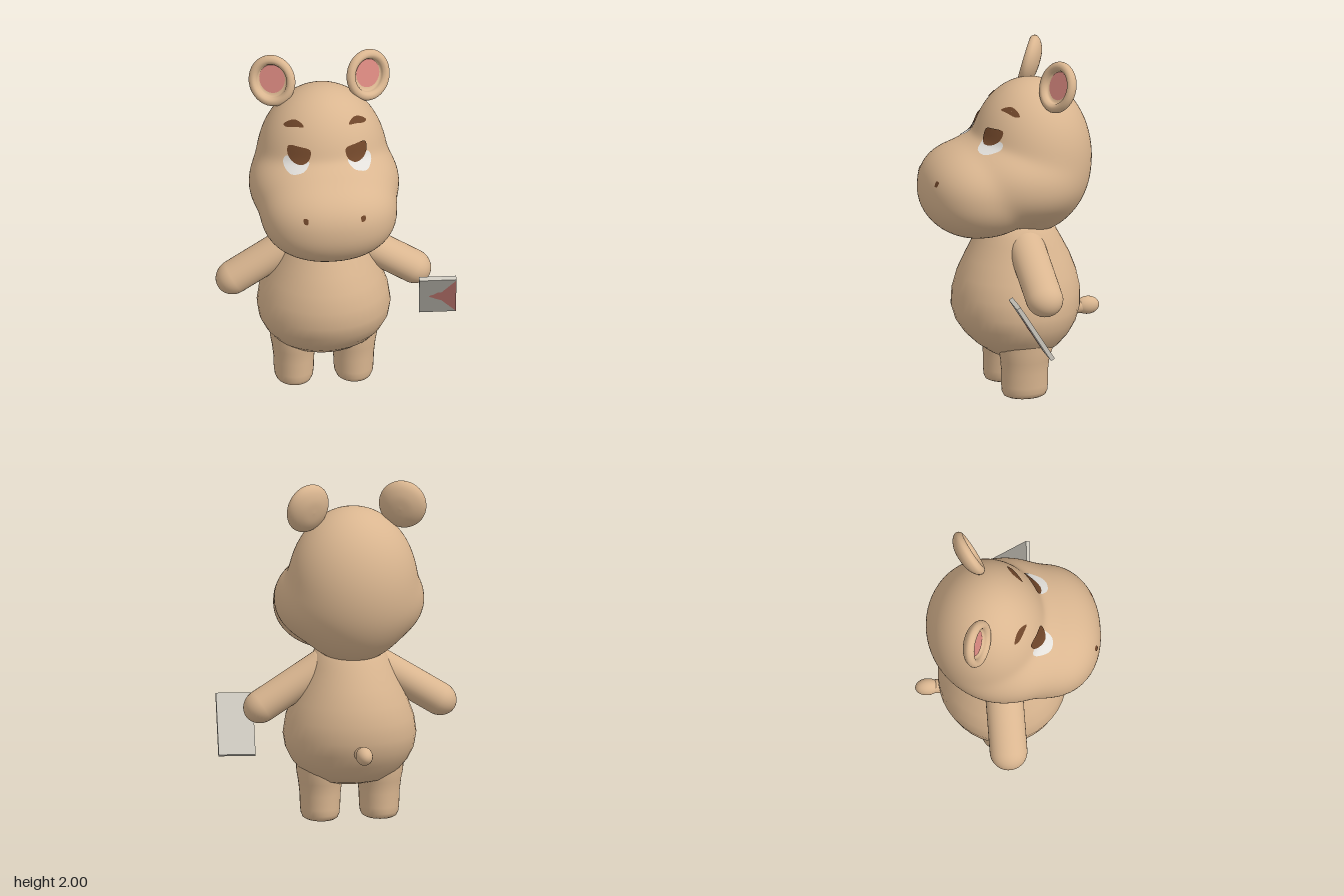
import * as THREE from 'three';
import { mergeVertices } from 'three/addons/utils/BufferGeometryUtils.js';

const mat = (name, color, side = THREE.FrontSide) => {
  const m = new THREE.MeshStandardMaterial({ color, side });
  m.name = name;
  return m;
};

// Weld seams and give smooth normals
function smooth(geo) {
  geo.deleteAttribute('uv');
  geo.deleteAttribute('normal');
  const g = mergeVertices(geo, 1e-5);
  g.computeVertexNormals();
  return g;
}

// Oval rings from top to bottom: [y, half width, front z, back z]
function loft(rows, sides = 40) {
  const geo = new THREE.CylinderGeometry(1, 1, 1, sides, rows.length - 1, true);
  const p = geo.attributes.position;
  for (let i = 0; i < p.count; i++) {
    const [y, w, f, b] = rows[Math.floor(i / (sides + 1))];
    p.setXYZ(i, p.getX(i) * w, y, (f + b) / 2 + p.getZ(i) * (f - b) / 2);
  }
  return smooth(geo);
}

// Head: soft blend of cranium, cheeks and muzzle; [cy, cz, rx, ry, rz, power]
const LOBES = [
  [1.385, -0.125, 0.374, 0.453, 0.347, 2],
  [1.28, -0.02, 0.428, 0.285, 0.4, 2.1],
  [1.213, 0.2, 0.39, 0.272, 0.328, 2.2],
];
function inHead(p) {
  let sum = 0;
  for (const [cy, cz, rx, ry, rz, e] of LOBES) {
    const q = Math.abs(p.x / rx) ** e + Math.abs((p.y - cy) / ry) ** e + Math.abs((p.z - cz) / rz) ** e;
    sum += Math.max(q, 1e-6) ** (-24 / e);
  }
  return sum > 1;
}

// Point where a line from start to end crosses the head surface (exactly one end is inside)
function cross(inside, outside) {
  const a = inside.clone(), b = outside.clone(), m = new THREE.Vector3();
  for (let i = 0; i < 28; i++) {
    m.addVectors(a, b).multiplyScalar(0.5);
    if (inHead(m)) a.copy(m); else b.copy(m);
  }
  return m;
}

function headGeometry() {
  const geo = new THREE.SphereGeometry(1, 80, 64);
  const p = geo.attributes.position, c = new THREE.Vector3(0, 1.34, 0.02), d = new THREE.Vector3();
  for (let i = 0; i < p.count; i++) {
    d.fromBufferAttribute(p, i).add(c);
    const s = cross(c, d);
    p.setXYZ(i, s.x, s.y, s.z);
  }
  return smooth(geo);
}

// Painted patch dropped onto the head along -z (face) or -y (from above)
function patch(outline, lift, fromAbove = false) {
  const pts = outline.map(([x, y]) => new THREE.Vector3(x, y, 0));
  const edge = new THREE.CatmullRomCurve3(pts, true).getPoints(32).slice(0, 32);
  const mid = edge.reduce((s, q) => s.add(q), new THREE.Vector3()).multiplyScalar(1 / 32);
  const pos = [], index = [], step = new THREE.Vector3(0, fromAbove ? -0.005 : 0, fromAbove ? 0 : -0.005);
  for (let r = 0; r <= 5; r++) {
    for (const e of edge) {
      const q = mid.clone().lerp(e, Math.max(r / 5, 0.01));
      const s = fromAbove ? new THREE.Vector3(q.x, 2, q.y) : new THREE.Vector3(q.x, q.y, 0.7);
      for (let k = 0; k < 300 && !inHead(s); k++) s.add(step);
      const hit = cross(s, s.clone().sub(step));
      const out = hit.clone().sub(new THREE.Vector3(0, 1.34, 0)).normalize();
      hit.addScaledVector(out, lift);
      pos.push(hit.x, hit.y, hit.z);
    }
  }
  for (let r = 0; r < 5; r++) {
    for (let i = 0; i < 32; i++) {
      const j = (i + 1) % 32, a = r * 32, b = a + 32;
      index.push(a + i, b + i, b + j, a + i, b + j, a + j);
    }
  }
  const geo = new THREE.BufferGeometry();
  geo.setAttribute('position', new THREE.Float32BufferAttribute(pos, 3));
  geo.setIndex(index);
  geo.computeVertexNormals();
  return geo;
}

export function createModel() {
  const skin = mat('tan skin', 0xdab690);
  const pink = mat('pink', 0xd98880, THREE.DoubleSide);
  const brown = mat('dark brown', 0x6e4529, THREE.DoubleSide);
  const white = mat('eye white', 0xe2dfda, THREE.DoubleSide);
  const card = mat('card grey', 0xcfcbc1);

  const model = new THREE.Group();
  const animal = new THREE.Group();
  animal.name = 'hippo';
  animal.position.x = -0.075;
  model.add(animal);
  const add = (name, geo, material, parent = animal) => {
    const m = new THREE.Mesh(geo, material);
    m.name = name;
    parent.add(m);
    return m;
  };

  add('head', headGeometry(), skin);

  // Pear-shaped body
  add('body', loft([
    [1.08, 0.001, -0.03, -0.032], [1.06, 0.13, 0.11, -0.17], [1.0, 0.19, 0.16, -0.235], [0.95, 0.22, 0.185, -0.265],
    [0.9, 0.242, 0.21, -0.293], [0.8, 0.285, 0.26, -0.345], [0.7, 0.33, 0.305, -0.383],
    [0.6, 0.368, 0.331, -0.404], [0.5, 0.383, 0.335, -0.402], [0.42, 0.37, 0.31, -0.378],
    [0.35, 0.335, 0.262, -0.338], [0.29, 0.285, 0.2, -0.285], [0.24, 0.22, 0.13, -0.22],
    [0.215, 0.14, 0.06, -0.14], [0.205, 0.001, -0.04, -0.042],
  ]), skin);

  // Tail
  const tail = add('tail', new THREE.SphereGeometry(1, 24, 16), skin);
  tail.scale.set(0.048, 0.052, 0.07);
  tail.position.set(0, 0.45, -0.465);
  const tailRoot = add('tailRoot', new THREE.CylinderGeometry(0.036, 0.045, 0.12, 20), skin);
  tailRoot.rotation.x = -Math.PI / 2;
  tailRoot.position.set(0, 0.447, -0.41);

  const legGeo = loft([
    [0.4, 0.14, 0.12, -0.2], [0.28, 0.136, 0.116, -0.196], [0.22, 0.125, 0.106, -0.178], [0.15, 0.117, 0.101, -0.17],
    [0.07, 0.114, 0.101, -0.17], [0.035, 0.11, 0.098, -0.167], [0.012, 0.1, 0.088, -0.157],
    [0.003, 0.085, 0.07, -0.14], [0, 0.07, 0.055, -0.125], [0, 0.001, -0.034, -0.036],
  ], 32);

  // Ear cup profile, turned to face +z
  const earGeo = new THREE.LatheGeometry(new THREE.SplineCurve([
    [0.0005, -0.05], [0.06, -0.044], [0.108, -0.02], [0.13, 0.012], [0.122, 0.038],
    [0.102, 0.045], [0.086, 0.032], [0.078, 0.01], [0.04, 0.004], [0.0005, 0.004],
  ].map(([x, y]) => new THREE.Vector2(x, y))).getPoints(36), 40);
  earGeo.rotateX(Math.PI / 2);

  for (const s of [1, -1]) {
    const side = s > 0 ? 'left' : 'right';
    const flip = (list) => list.map(([x, y]) => [x * s, y]);

    add(side + 'Leg', legGeo, skin).position.x = 0.172 * s;

    // Arm: capsule from shoulder to paw
    const a = new THREE.Vector3(0.17 * s, 0.89, -0.045), b = new THREE.Vector3(0.515 * s, 0.675, -0.045);
    const arm = add(side + 'Arm', new THREE.CapsuleGeometry(0.108, a.distanceTo(b), 12, 32), skin);
    arm.position.addVectors(a, b).multiplyScalar(0.5);
    arm.rotation.z = Math.atan2(b.y - a.y, b.x - a.x) + Math.PI / 2;
    arm.scale.x = 0.88;

    // Ear with pink lining
    const ear = new THREE.Group();
    ear.name = side + 'Ear';
    ear.position.set(0.27 * s, 1.853, -0.215);
    ear.rotation.set(-0.27, 0.42 * s, -0.2 * s, 'YXZ');
    ear.scale.set(1.06, 1.15, 1);
    animal.add(ear);
    add('earCup', earGeo, skin, ear);
    add('earLining', new THREE.CircleGeometry(0.072, 32), pink, ear).position.set(0, 0.008, 0.012);

    // Half-closed eye, brow and nostril
    add(side + 'EyeWhite', patch(flip([[0.11, 1.53], [0.17, 1.54], [0.235, 1.54], [0.25, 1.5], [0.225, 1.475], [0.17, 1.482], [0.13, 1.5]]), 0.004), white);
    add(side + 'Iris', patch(flip([[0.1, 1.59], [0.155, 1.602], [0.215, 1.598], [0.222, 1.555], [0.2, 1.522], [0.15, 1.514], [0.108, 1.54]]), 0.008), brown);
    add(side + 'Brow', patch(flip([[0.128, 0.092], [0.165, 0.045], [0.21, 0.02], [0.235, 0.015], [0.22, 0.04], [0.175, 0.07]]), 0.005, true), brown);
    add(side + 'Nostril', patch(flip([[0.152, 1.322], [0.176, 1.322], [0.174, 1.296], [0.155, 1.294]]), 0.003), brown);
  }

  // Held card with a coloured flap on its front
  const held = new THREE.Group();
  held.name = 'heldCard';
  held.position.set(0.568, 0.545, 0.072);
  held.rotation.set(0.56, -0.06, 0.06);
  model.add(held);
  add('cardBoard', new THREE.BoxGeometry(0.212, 0.375, 0.026), card, held);
  const flap = new THREE.Shape([[0.105, 0.18], [0.105, -0.18], [0.02, -0.045], [0.0, -0.035], [-0.05, 0],
    [-0.045, 0.012], [-0.02, 0.025], [0.0, 0.045], [0.02, 0.045]].map(([x, y]) => new THREE.Vector2(x, y)));
  add('cardFlap', new THREE.ShapeGeometry(flap), pink, held).position.z = 0.016;

  return model;
}
